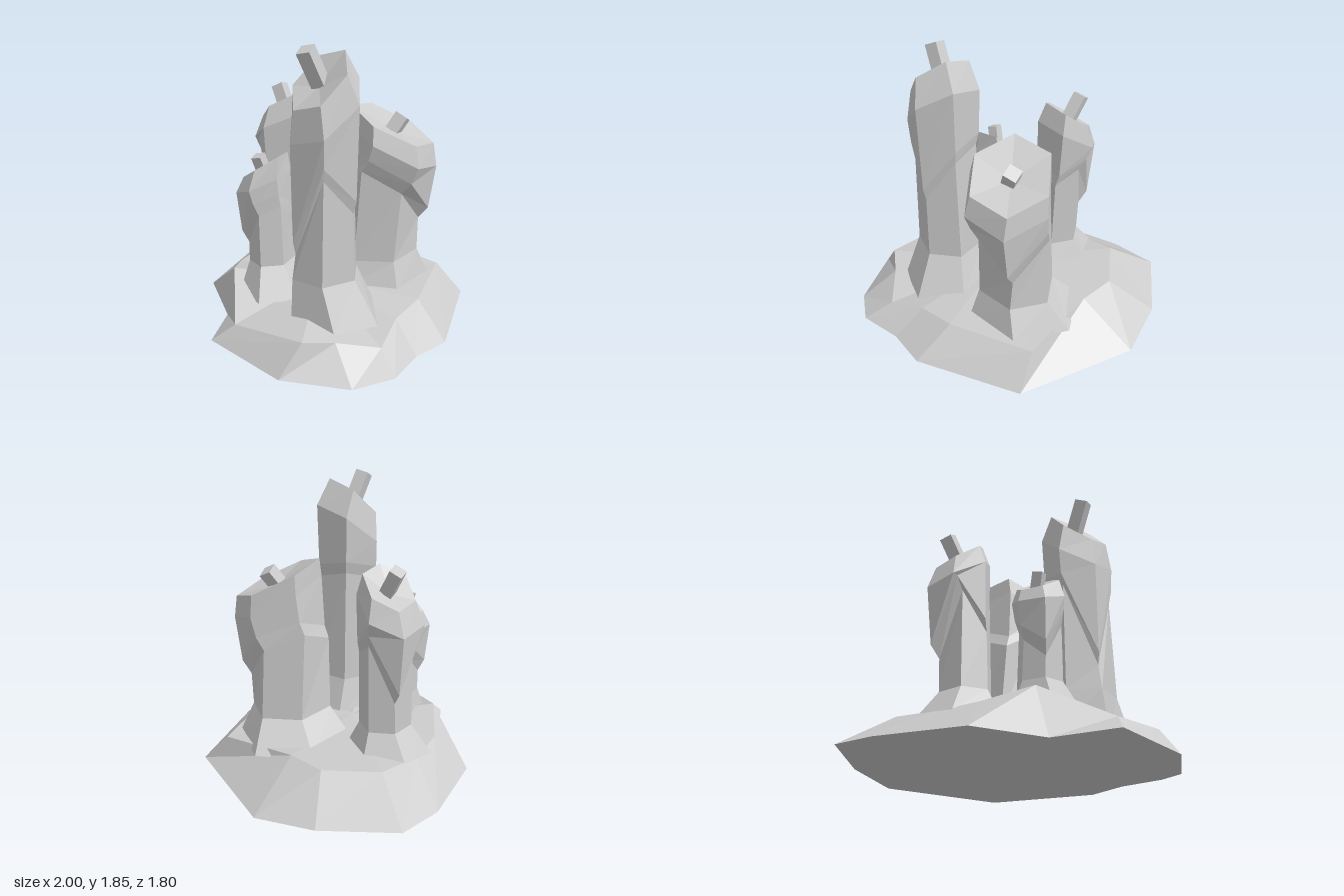
import * as THREE from 'three';

const wax = new THREE.MeshStandardMaterial({ color: 0xcccccc });
wax.name = 'grey wax';

// Closed faceted solid through rings of points, listed from bottom to top
function loft(rings, bottom, top) {
  const pos = [];
  const tri = (a, b, c) => pos.push(...a, ...b, ...c);
  const n = rings[0].length;
  for (let i = 0; i < n; i++) {
    const j = (i + 1) % n;
    tri(bottom, rings[0][i], rings[0][j]);
    for (let k = 0; k < rings.length - 1; k++) {
      const lo = rings[k], up = rings[k + 1];
      tri(lo[i], up[i], lo[j]);
      tri(lo[j], up[i], up[j]);
    }
    tri(top, rings.at(-1)[j], rings.at(-1)[i]);
  }
  const g = new THREE.BufferGeometry();
  g.setAttribute('position', new THREE.Float32BufferAttribute(pos, 3));
  g.computeVertexNormals();
  return g;
}

// Six-cornered ring, tilted by tx and tz; y may be one height or one per corner
function ring({ x, z, r, rz = r, y, tx = 0, tz = 0, turn }) {
  return Array.from({ length: 6 }, (_, i) => {
    const a = THREE.MathUtils.degToRad(turn + i * 60);
    const dx = r * Math.cos(a), dz = rz * Math.sin(a);
    return [x + dx, (Array.isArray(y) ? y[i] : y) + tx * dx + tz * dz, z + dz];
  });
}

function candle(name, c) {
  const group = new THREE.Group();
  group.name = name;
  const mix = k => THREE.MathUtils.lerp(c.drips[k], c.shoulder[k], 0.6);
  // Overhanging hem just above the drip ends
  const hem = { x: mix('x'), z: mix('z'), r: mix('r'), rz: mix('rz'), y: c.drips.y.map(y => y + 0.08) };
  const rings = [c.flare, c.foot, c.drips, hem, c.shoulder, c.rim].map(s => ring({ turn: c.turn, ...s }));
  const { x, y, z } = c.rim;
  const body = new THREE.Mesh(loft(rings, [c.flare.x, 0.1, c.flare.z], [x, y - 0.04, z]), wax);
  body.name = 'candleBody';
  group.add(body);

  // Square wick leaning from its foot to its tip
  const from = new THREE.Vector3(...c.wick[0]), to = new THREE.Vector3(...c.wick[1]);
  const dir = to.clone().sub(from);
  const wick = new THREE.Mesh(new THREE.BoxGeometry(c.wickWidth, dir.length(), c.wickWidth).toNonIndexed(), wax);
  wick.name = 'wick';
  wick.position.copy(from).add(to).multiplyScalar(0.5);
  wick.quaternion.setFromUnitVectors(new THREE.Vector3(0, 1, 0), dir.normalize());
  wick.rotateY(0.5);
  group.add(wick);
  return group;
}

export function createModel() {
  const model = new THREE.Group();
  model.name = 'meltedCandles';

  // Spread pool of wax: outer edge and raised inner ring
  const edge = [
    [-0.33, 0.01, -0.9], [0.47, 0.01, -0.82], [0.88, 0.02, -0.25], [0.9, 0.03, 0.01],
    [1, 0.04, 0.27], [0.91, 0.015, 0.51], [0.59, 0.02, 0.79], [0.02, 0.04, 0.9],
    [-0.25, 0, 0.63], [-0.67, 0.015, 0.5], [-0.94, 0.03, 0], [-1, 0.05, -0.32], [-0.68, 0.04, -0.7],
  ];
  const mound = [
    [-0.2, 0.25, -0.55], [0.32, 0.2, -0.72], [0.63, 0.21, -0.25], [0.7, 0.19, 0],
    [0.82, 0.13, 0.22], [0.68, 0.18, 0.45], [0.6, 0.21, 0.63], [0.11, 0.15, 0.78],
    [-0.27, 0.31, 0.55], [-0.5, 0.22, 0.36], [-0.62, 0.21, 0.1], [-0.68, 0.25, -0.22], [-0.45, 0.25, -0.5],
  ];
  const pool = new THREE.Mesh(loft([edge, mound], [-0.1, 0.02, 0], [0.05, 0.24, 0.1]), wax);
  pool.name = 'waxPool';
  model.add(pool);

  // Corner heights of the drips run from +x towards +z
  model.add(
    candle('tallCandle', {
      turn: 40,
      flare: { x: 0.37, z: 0.22, r: 0.32, rz: 0.29, y: 0.17 },
      foot: { x: 0.335, z: 0.265, r: 0.21, rz: 0.22, y: 0.44 },
      drips: { x: 0.335, z: 0.265, r: 0.2, rz: 0.195, y: [1.1, 0.6, 1.15, 1.2, 1.15, 0.87] },
      shoulder: { x: 0.335, z: 0.265, r: 0.235, rz: 0.22, y: 1.46, tz: -0.8 },
      rim: { x: 0.33, z: 0.3, r: 0.195, rz: 0.16, y: 1.64, tz: -1 },
      wick: [[0.31, 1.6, 0.27], [0.31, 1.82, 0.38]], wickWidth: 0.085,
    }),
    candle('broadCandle', {
      turn: 8,
      flare: { x: 0.11, z: -0.32, r: 0.37, rz: 0.38, y: 0.19, turn: 15 },
      foot: { x: 0.17, z: -0.31, r: 0.24, rz: 0.27, y: 0.38, turn: 15 },
      drips: { x: 0.18, z: -0.31, r: 0.24, rz: 0.26, y: [0.85, 1, 0.85, 0.95, 0.85, 0.6] },
      shoulder: { x: 0.25, z: -0.345, r: 0.28, rz: 0.28, y: 1.12, tx: -0.35, tz: 0.38 },
      rim: { x: 0.235, z: -0.35, r: 0.26, rz: 0.265, y: 1.25, tx: -0.35, tz: 0.33 },
      wick: [[0.23, 1.18, -0.33], [0.26, 1.3, -0.41]], wickWidth: 0.085,
    }),
    candle('leftCandle', {
      turn: 15,
      flare: { x: -0.4, z: 0.05, r: 0.28, rz: 0.27, y: 0.19 },
      foot: { x: -0.38, z: 0.04, r: 0.16, rz: 0.17, y: 0.37 },
      drips: { x: -0.385, z: 0.03, r: 0.155, rz: 0.17, y: [0.9, 0.73, 0.98, 0.58, 0.95, 0.85] },
      shoulder: { x: -0.435, z: 0.02, r: 0.2, rz: 0.21, y: 1.15, tx: 0.6 },
      rim: { x: -0.43, z: 0.01, r: 0.15, rz: 0.165, y: 1.29, tx: 0.72 },
      wick: [[-0.42, 1.25, 0], [-0.52, 1.41, 0]], wickWidth: 0.08,
    }),
    candle('smallCandle', {
      turn: 0,
      flare: { x: -0.05, z: 0.35, r: 0.22, rz: 0.26, y: 0.2 },
      foot: { x: -0.09, z: 0.37, r: 0.13, rz: 0.15, y: 0.4 },
      drips: { x: -0.09, z: 0.38, r: 0.125, rz: 0.14, y: [0.8, 0.75, 0.53, 0.65, 0.75, 0.7] },
      shoulder: { x: -0.12, z: 0.4, r: 0.15, rz: 0.18, y: 0.93, tx: 0.35, tz: -0.25 },
      rim: { x: -0.11, z: 0.39, r: 0.13, rz: 0.14, y: 1.04, tx: 0.6, tz: -0.3 },
      wick: [[-0.12, 0.98, 0.39], [-0.13, 1.1, 0.43]], wickWidth: 0.065,
    }),
  );
  return model;
}
